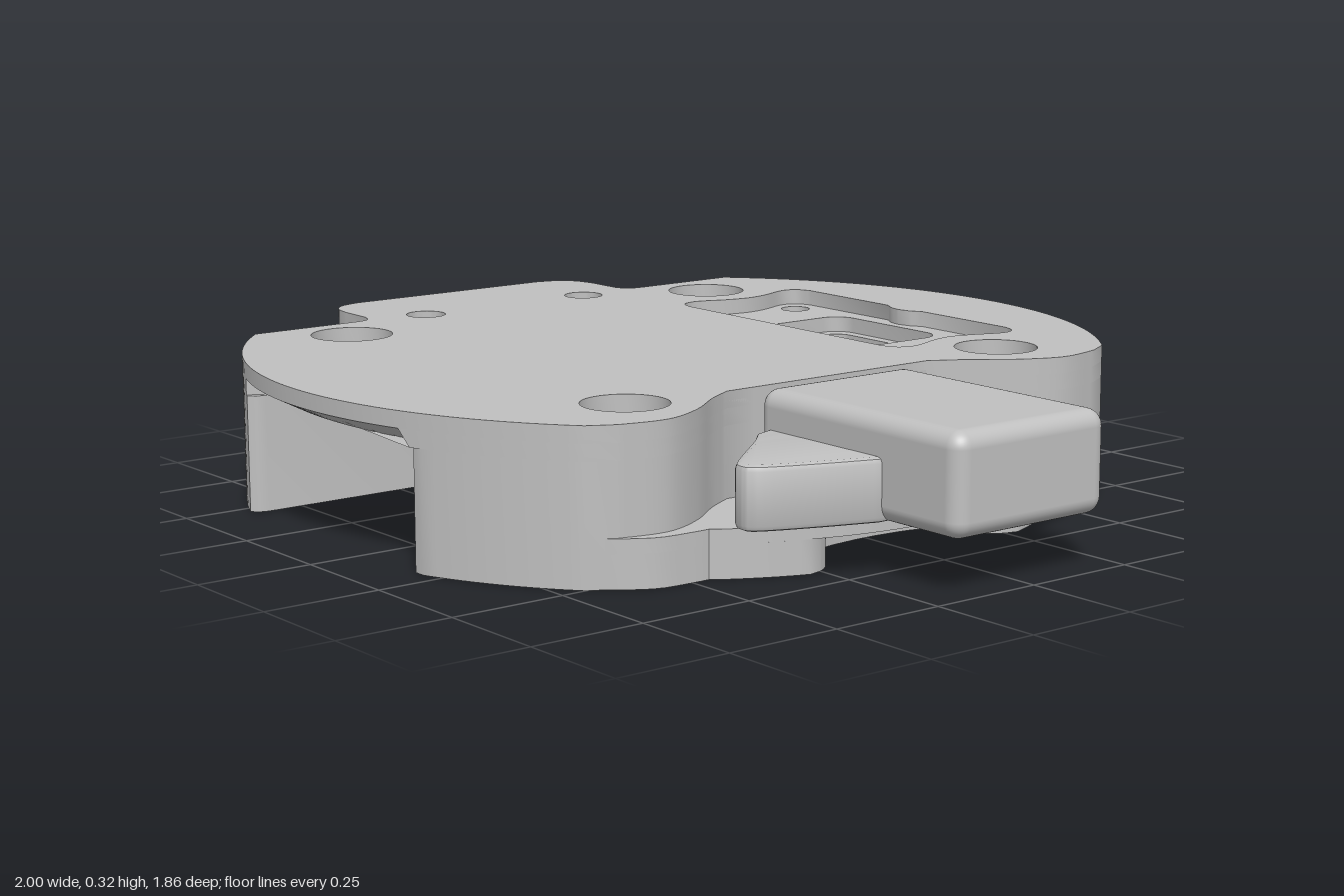
import * as THREE from 'three';
import { toCreasedNormals } from 'three/addons/utils/BufferGeometryUtils.js';
import { RoundedBoxGeometry } from 'three/addons/geometries/RoundedBoxGeometry.js';

const V = (x, z) => new THREE.Vector2(x, z);
const CX = -0.12; // centre of the round housing
const R = 0.932; // radius of the round housing
const rim = x => Math.sqrt(R * R - (x - CX) ** 2);

// Smooth run of points through a few controls
const smooth = (pts, n = 24) => new THREE.SplineCurve(pts.map(p => V(...p))).getPoints(n);
// Completes a half outline (z > 0) with its mirror image
const mirrored = half => [...half, ...half.slice().reverse().map(p => V(p.x, -p.y))];
const flip = (pts, s) => pts.map(p => V(p.x, p.y * s));

// Point loops for round holes and rounded rectangles
function arc(x, z, r, a0, a1, n) {
  const pts = [];
  for (let i = 0; i <= n; i++) {
    const a = a0 + ((a1 - a0) * i) / n;
    pts.push(V(x + r * Math.cos(a), z + r * Math.sin(a)));
  }
  return pts;
}
const circle = (x, z, r) => arc(x, z, r, 0, Math.PI * 2, 40).slice(0, -1);
const roundRect = (x0, x1, z0, z1, r) => [
  ...arc(x1 - r, z1 - r, r, 0, Math.PI / 2, 8),
  ...arc(x0 + r, z1 - r, r, Math.PI / 2, Math.PI, 8),
  ...arc(x0 + r, z0 + r, r, Math.PI, Math.PI * 1.5, 8),
  ...arc(x1 - r, z0 + r, r, Math.PI * 1.5, Math.PI * 2, 8),
];

// Housing outline, half with z > 0
function halfOutline() {
  const pts = [V(0.4, 0.2), ...smooth([[0.4, 0.27], [0.44, 0.34], [0.5, 0.42], [0.54, 0.5], [0.547, 0.56], [0.53, 0.64]])];
  for (let i = 0; i <= 48; i++) {
    const x = 0.5 - (1.27 * i) / 48;
    pts.push(V(x, rim(x)));
  }
  pts.push(...smooth([[-0.77, 0.4], [-0.78, 0.37], [-0.81, 0.357]], 6));
  pts.push(...smooth([[-0.9, 0.355], [-0.95, 0.343], [-0.985, 0.31], [-1, 0.26]], 10));
  return pts;
}

export function createModel() {
  const group = new THREE.Group();
  const grey = new THREE.MeshStandardMaterial({ color: 0xc0c0c0 });
  grey.name = 'plain grey';

  const add = (name, geo) => {
    const m = new THREE.Mesh(geo, grey);
    m.name = name;
    group.add(m);
  };
  // Extrudes a plan outline (x, z) between two heights
  const extrude = (outline, y0, y1, holes = [], bevel = 0) => {
    const shape = new THREE.Shape(outline);
    shape.holes = holes.map(h => new THREE.Path(h));
    const geo = new THREE.ExtrudeGeometry(shape, {
      depth: y1 - y0 - 2 * bevel, bevelEnabled: bevel > 0,
      bevelSize: bevel, bevelThickness: bevel, bevelOffset: -bevel, bevelSegments: 2,
    });
    return geo.rotateX(Math.PI / 2).translate(0, y1 - bevel, 0);
  };
  const slab = (name, ...args) => add(name, toCreasedNormals(extrude(...args), 0.6));
  const box = (name, x0, x1, y0, y1, z0, z1) =>
    add(name, new THREE.BoxGeometry(x1 - x0, y1 - y0, z1 - z0).translate((x0 + x1) / 2, (y0 + y1) / 2, (z0 + z1) / 2));

  const boltHoles = [0.37, -0.635].flatMap(x => [0.502, -0.502].map(z => circle(x, z, 0.09)));
  const tabHoles = [-0.225, 0.225].map(z => circle(-0.76, z, 0.045));

  // Waisted pocket outline with a small dip in the rear edge
  const pocket = [
    ...smooth([[-0.13, -0.672], [-0.16, -0.678], [-0.19, -0.695]], 6),
    ...smooth([[-0.47, -0.695], [-0.505, -0.68], [-0.515, -0.64], [-0.49, -0.57], [-0.48, -0.51],
      [-0.49, -0.45], [-0.515, -0.38], [-0.505, -0.335], [-0.47, -0.32]], 28),
    ...smooth([[0.2, -0.32], [0.238, -0.335], [0.25, -0.38], [0.225, -0.45], [0.212, -0.51],
      [0.225, -0.57], [0.25, -0.64], [0.238, -0.68], [0.2, -0.695]], 28),
    ...smooth([[-0.07, -0.695], [-0.1, -0.678]], 4),
  ];

  // Top plate
  const outer = halfOutline();
  slab('topPlate', mirrored(outer), 0.285, 0.32, [...boltHoles, ...tabHoles, pocket]);

  // Thicker layer below it, its lower rim sloping inward between the posts
  const screwHoles = [[-0.45, -0.63], [0.18, -0.63], [-0.45, -0.39], [0.18, -0.39]].map(([x, z]) => circle(x, z, 0.034));
  const under = extrude(mirrored(outer), 0.25, 0.285,
    [...boltHoles, ...tabHoles, ...screwHoles, roundRect(-0.31, 0.045, -0.648, -0.358, 0.05)]);
  const pos = under.attributes.position;
  for (let i = 0; i < pos.count; i++) {
    const x = pos.getX(i), z = pos.getZ(i);
    if (pos.getY(i) < 0.26 && x > -0.46 && x < 0.17 && Math.hypot(x - CX, z) > 0.9) pos.setZ(i, z * 0.925);
  }
  add('plateUnderlayer', toCreasedNormals(under, 0.6));

  // Window frame below the pocket
  slab('windowFrame', roundRect(-0.5, 0.22, -0.69, -0.32, 0.02), 0.22, 0.25,
    [roundRect(-0.28, 0.012, -0.62, -0.388, 0.04)]);

  // Corner posts with wide bores, front and rear
  const bores = [0.502, -0.502].map(z => circle(0.37, z, 0.14));
  [1, -1].forEach((s, k) => {
    const right = [V(0.16, 0.2), ...outer.filter(p => p.x > 0.2), V(0.182, 0.872), V(0.165, 0.855), V(0.16, 0.83)];
    slab('rightPost', flip(right, s), 0, 0.25, [bores[k]]);

    const left = [V(-0.45, 0.3), V(-0.45, 0.83), V(-0.455, 0.85)];
    for (let i = 0; i <= 12; i++) {
      const x = -0.47 - (0.24 * i) / 12;
      left.push(V(x, rim(x)));
    }
    // Bore that breaks through the side
    left.push(...arc(-0.635, 0.502, 0.14, 2.12, -2.12, 32), V(-0.71, 0.3));
    slab('leftPost', flip(left, s), 0, 0.25);
  });

  // Central body and side tab
  box('centralBody', -0.72, 0.24, 0.02, 0.25, -0.34, 0.34);
  box('innerWall', 0.2, 0.4, 0.065, 0.3, -0.34, 0.34);
  slab('sideTab', roundRect(-0.99, -0.66, -0.345, 0.345, 0.08), 0, 0.262, [], 0.012);

  // Track plate below the slider, and the scalloped foot under it
  const trackEdge = [V(0.22, 0.35), V(0.16, 0.35), V(0.16, 0.7), V(0.5, 0.68),
    ...smooth([[0.53, 0.65], [0.572, 0.58], [0.58, 0.5], [0.58, 0.46]], 10)];
  slab('trackPlate', mirrored([...trackEdge, ...arc(CX, 0, 0.84, 0.55, 0.02, 16)]), 0.07, 0.1, bores);
  slab('trackFoot', mirrored([...trackEdge, ...arc(CX, 0, 0.84, 0.55, 0.34, 8),
    ...smooth([[0.665, 0.25], [0.645, 0.22], [0.6, 0.185], [0.55, 0.16], [0.525, 0.12], [0.515, 0.03]], 20)]),
  0, 0.07, [...bores, roundRect(0.26, 0.36, -0.25, 0.25, 0.048)]);

  // Slider button with its two wings
  add('slider', new RoundedBoxGeometry(0.585, 0.21, 0.4, 5, 0.035).translate(0.7025, 0.215, 0));
  const wingHalf = [V(0.43, 0.17), ...smooth([[0.45, 0.235], [0.5, 0.285], [0.62, 0.425], [0.66, 0.452], [0.695, 0.435],
    [0.74, 0.33], [0.785, 0.2]], 36)];
  slab('sliderWings', mirrored(wingHalf), 0.11, 0.24, [], 0.012);

  return group;
}
